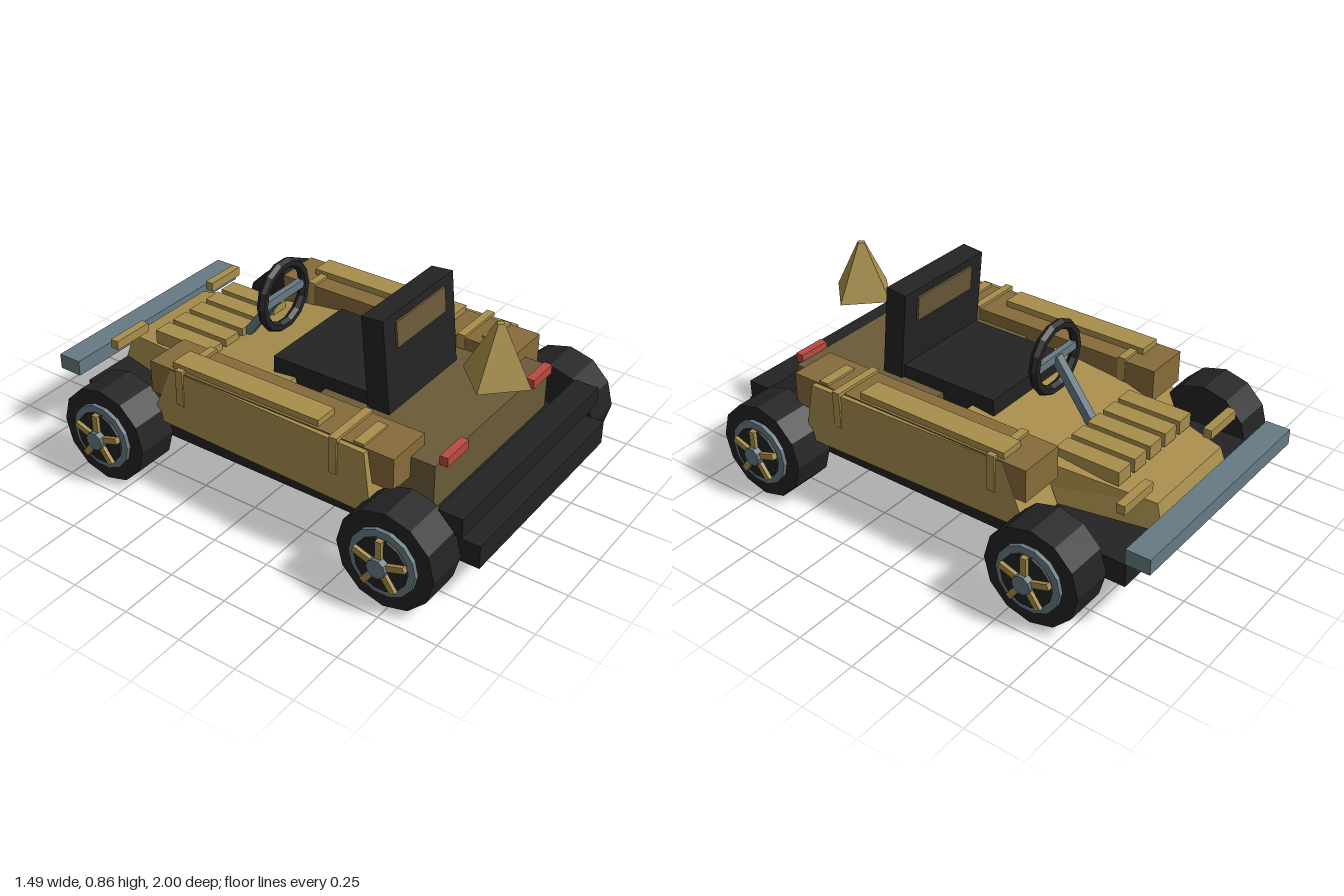
import * as THREE from 'three';

const mat = (name, color) => {
  const m = new THREE.MeshStandardMaterial({ color });
  m.name = name;
  return m;
};

export function createModel() {
  const tan = mat('tan', 0xa88e4c);
  const brown = mat('brown', 0x876c3a);
  const olive = mat('olive', 0x6a5a38);
  const black = mat('black', 0x232323);
  const steel = mat('steel', 0x667a84);
  const red = mat('red', 0xb84a42);
  const kart = new THREE.Group();
  kart.name = 'kart';

  const add = (name, geo, material, parent = kart) => {
    const m = new THREE.Mesh(geo, material);
    m.name = name;
    parent.add(m);
    return m;
  };
  // box given by its extents on each axis
  const box = (name, material, x0, x1, y0, y1, z0, z1, parent) => {
    const m = add(name, new THREE.BoxGeometry(x1 - x0, y1 - y0, z1 - z0), material, parent);
    m.position.set((x0 + x1) / 2, (y0 + y1) / 2, (z0 + z1) / 2);
    return m;
  };
  const pair = (name, material, x0, x1, ...yz) => {
    box(name + 'Left', material, x0, x1, ...yz);
    box(name + 'Right', material, -x1, -x0, ...yz);
  };
  // six-sided block whose corners are moved by a rule
  const block = (name, material, corner) => {
    const g = new THREE.BoxGeometry(2, 2, 2);
    const p = g.attributes.position;
    for (let i = 0; i < p.count; i++) p.setXYZ(i, ...corner(p.getX(i), p.getY(i) > 0, p.getZ(i) > 0));
    const flat = g.toNonIndexed();
    flat.computeVertexNormals();
    return add(name, flat, material);
  };
  // cylinder lying along x
  const disc = (name, material, r, x0, x1, sides, parent) => {
    const g = new THREE.CylinderGeometry(r, r, x1 - x0, sides).toNonIndexed();
    g.rotateZ(-Math.PI / 2);
    g.computeVertexNormals();
    const m = add(name, g, material, parent);
    m.position.x = (x0 + x1) / 2;
    return m;
  };

  // chassis and bumpers
  box('chassis', black, -0.48, 0.48, 0.16, 0.26, -0.88, 1);
  box('rearBumper', black, -0.52, 0.52, 0.3, 0.38, 0.84, 0.945);
  box('noseBumper', steel, -0.515, 0.515, 0.293, 0.36, -1, -0.895);

  // tapered nose deck
  block('noseBody', tan, (sx, top, rear) => rear
    ? (top ? [sx * 0.4, 0.47, 0.005] : [sx * 0.43, 0.265, 0.06])
    : (top ? [sx * 0.23, 0.37, -0.85] : [sx * 0.25, 0.19, -0.905]));
  for (let i = -2; i <= 2; i++) {
    const x = i * 0.107;
    box('hoodSlat', tan, x - 0.041, x + 0.041, 0.395, 0.455, -0.695, -0.41);
  }
  pair('noseLamp', tan, 0.21, 0.4, 0.4, 0.44, -0.815, -0.778);

  // rear body and lights
  box('rearBody', olive, -0.42, 0.42, 0.28, 0.473, 0.15, 0.765);
  pair('tailLight', red, 0.243, 0.388, 0.463, 0.502, 0.762, 0.797);

  // side hulls with pods, trays and straps
  for (const s of [1, -1]) {
    const side = s > 0 ? 'Left' : 'Right';
    block('sideHull' + side, tan, (sx, top, rear) => {
      const outer = sx * s > 0;
      const x = outer ? (rear ? (top ? 0.556 : 0.567) : (top ? 0.533 : 0.538)) : 0.335;
      const z = rear ? (top ? 0.55 : 0.59) : (top ? -0.37 : -0.48);
      return [s * x, top ? 0.52 : 0.267, z];
    });
  }
  pair('sidePod', brown, 0.33, 0.532, 0.385, 0.525, -0.475, 0.662);
  pair('podTray', tan, 0.417, 0.52, 0.52, 0.552, -0.368, 0.325);
  pair('podVent', tan, 0.375, 0.528, 0.515, 0.535, 0.487, 0.532);
  pair('noseStrap', tan, 0.327, 0.543, 0.38, 0.537, -0.34, -0.305);
  pair('rearStrap', tan, 0.327, 0.562, 0.38, 0.537, 0.4, 0.435);

  // seat
  box('seatBase', black, -0.23, 0.23, 0.4, 0.53, -0.1, 0.36);
  const back = new THREE.Group();
  back.name = 'seatBack';
  back.position.set(0, 0.655, 0.385);
  back.rotation.x = -0.095;
  kart.add(back);
  box('backrest', black, -0.242, 0.242, -0.205, 0.205, -0.048, 0.048, back);
  box('headPad', olive, -0.168, 0.168, 0.065, 0.17, -0.057, 0.057, back);

  // steering
  const ringGeo = new THREE.TorusGeometry(0.138, 0.022, 6, 14).toNonIndexed();
  ringGeo.computeVertexNormals();
  add('steeringWheel', ringGeo, black).position.set(0, 0.66, -0.224);
  box('steeringSpoke', steel, -0.13, 0.13, 0.645, 0.68, -0.238, -0.212);
  const from = new THREE.Vector3(0, 0.665, -0.23), to = new THREE.Vector3(0, 0.41, -0.42);
  const column = add('steeringColumn', new THREE.BoxGeometry(0.036, from.distanceTo(to), 0.036), steel);
  column.position.lerpVectors(from, to, 0.5);
  column.rotation.x = Math.atan2(from.z - to.z, from.y - to.y);

  // floating pyramid marker
  const pyramid = new THREE.CylinderGeometry(0.018, 0.146, 0.235, 4).toNonIndexed();
  pyramid.computeVertexNormals();
  add('pyramid', pyramid, tan).position.set(0, 0.747, 0.763);
  add('pyramidPeg', new THREE.CylinderGeometry(0.017, 0.017, 0.045, 8), steel).position.set(0, 0.618, 0.763);

  // axles and wheels
  for (const z of [0.732, -0.61]) {
    disc('axle', steel, 0.025, -0.55, 0.55, 8).position.set(0, 0.207, z);
    for (const s of [1, -1]) {
      const wheel = new THREE.Group();
      wheel.name = 'wheel';
      wheel.position.set(0, 0.207, z);
      wheel.rotation.y = s > 0 ? 0 : Math.PI;
      kart.add(wheel);
      disc('tyre', black, 0.207, 0.508, 0.688, 12, wheel);
      disc('rim', steel, 0.142, 0.685, 0.705, 14, wheel);
      disc('rimDisc', black, 0.112, 0.7, 0.716, 14, wheel);
      disc('hub', steel, 0.04, 0.7, 0.745, 10, wheel);
      for (let i = 0; i < 5; i++) {
        const spoke = new THREE.Group();
        spoke.name = 'spoke';
        spoke.rotation.x = i * Math.PI * 0.4;
        wheel.add(spoke);
        box('spokeBar', tan, 0.71, 0.732, 0.03, 0.113, -0.013, 0.013, spoke);
      }
    }
  }
  return kart;
}
